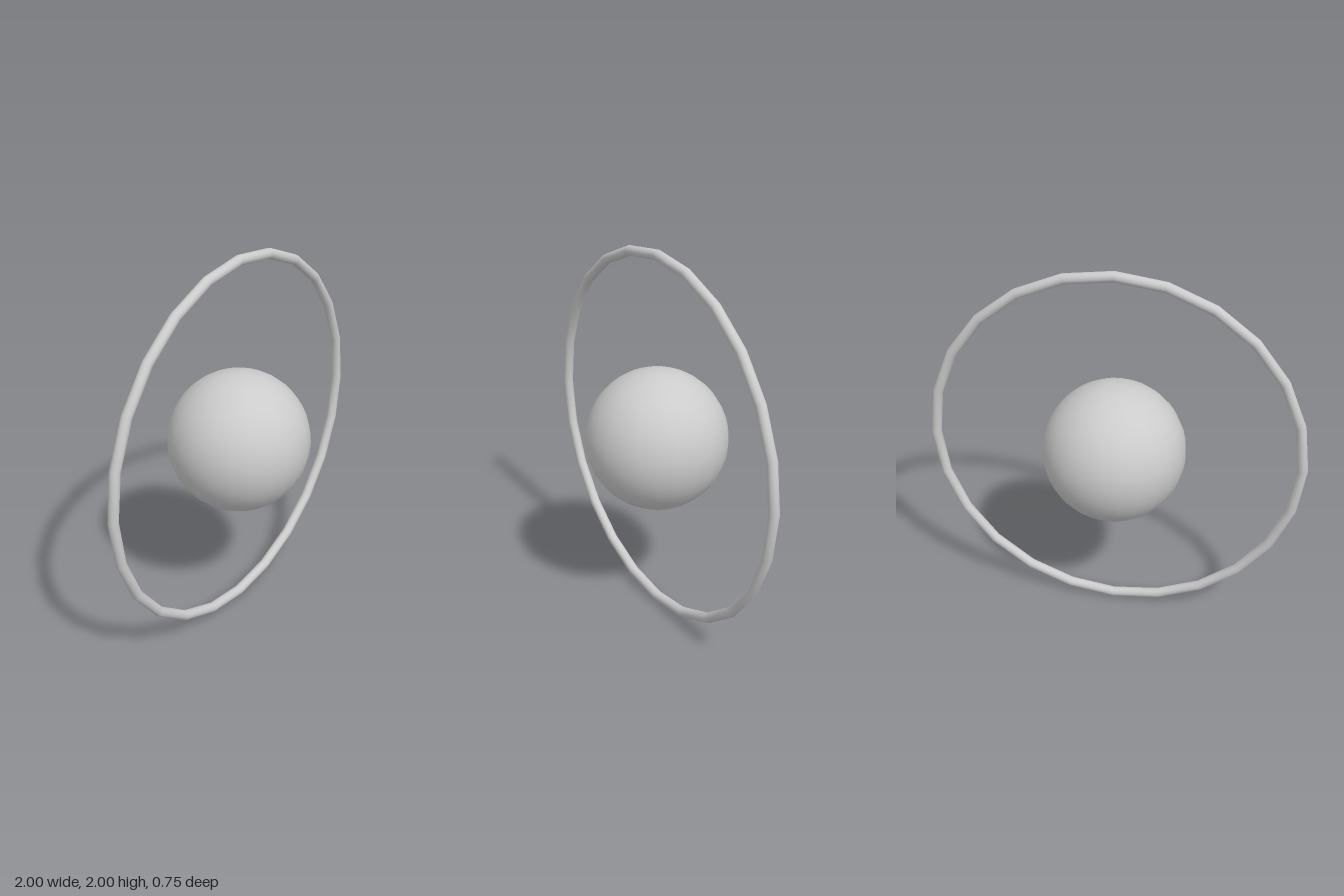
import * as THREE from 'three';

export function createModel() {
  const model = new THREE.Group();
  const material = new THREE.MeshStandardMaterial({ color: 0xcccccc });

  function add(name, geometry) {
    const mesh = new THREE.Mesh(geometry, material);
    mesh.name = name;
    mesh.position.y = 1;
    model.add(mesh);
  }

  // Floating core in the middle of the ring
  add('coreSphere', new THREE.SphereGeometry(0.375, 24, 20));

  // Thin upright ring, 24 straight segments with a joint at the top
  add('outerRing', new THREE.TorusGeometry(0.973, 0.027, 12, 24));

  return model;
}
